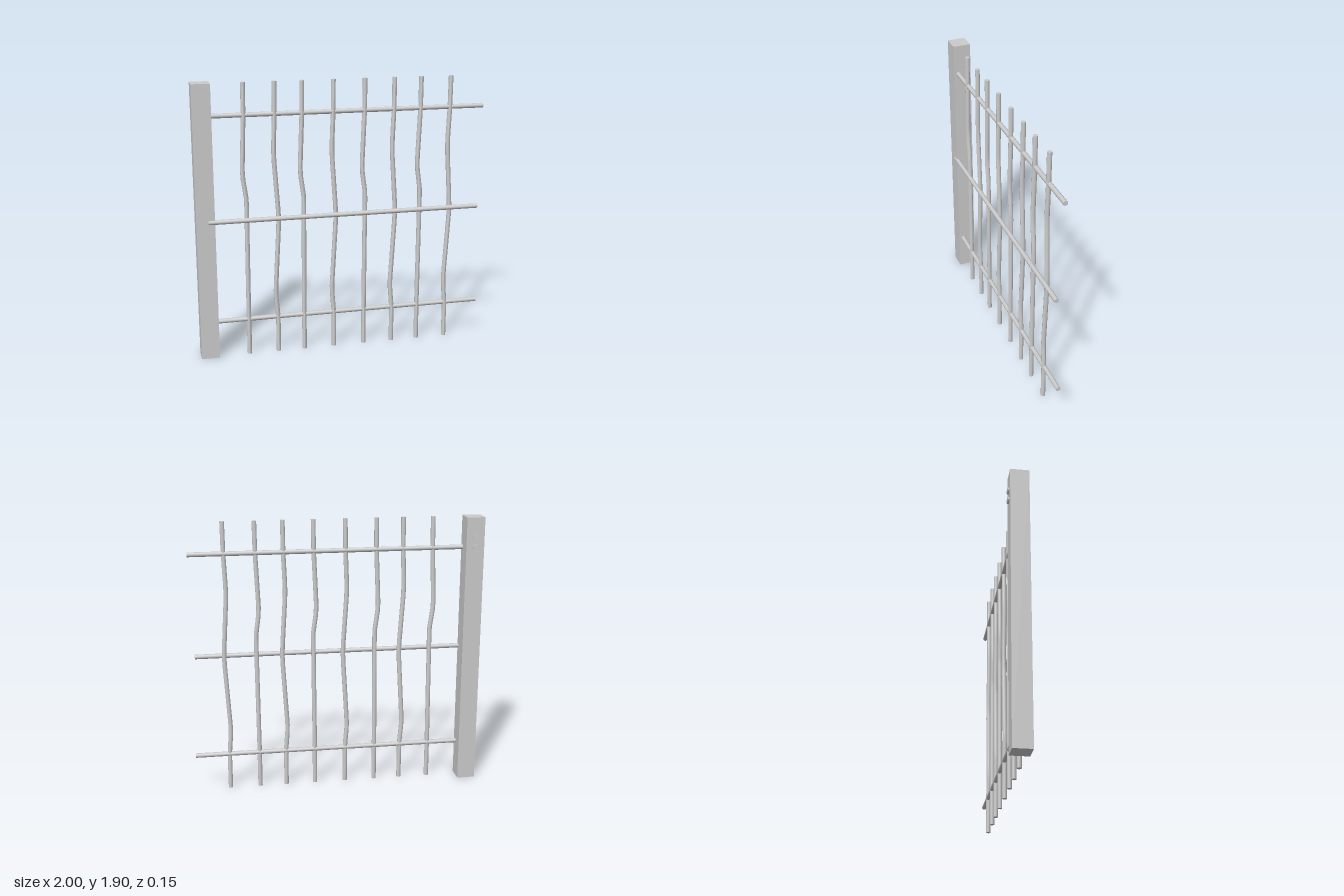
import * as THREE from 'three';

const material = new THREE.MeshStandardMaterial({ color: 0xcccccc });
const R = 0.016; // rod radius
const HEIGHT = 1.9;

function add(group, name, geometry, x = 0, y = 0, z = 0) {
  const mesh = new THREE.Mesh(geometry, material);
  mesh.name = name;
  mesh.position.set(x, y, z);
  group.add(mesh);
  return mesh;
}

// Upright rod whose rows sit at the given [height, sideways offset] pairs
function bentRod(profile) {
  const rows = profile.length - 1;
  const geometry = new THREE.CylinderGeometry(R, R, 1, 10, rows);
  const p = geometry.attributes.position;
  for (let i = 0; i < p.count; i++) {
    const [y, dx] = profile[Math.round((p.getY(i) + 0.5) * rows)];
    p.setXYZ(i, p.getX(i) + dx, y, p.getZ(i));
  }
  geometry.computeVertexNormals();
  return geometry;
}

export function createModel() {
  const model = new THREE.Group();
  model.name = 'fencePanel';

  // Square post
  add(model, 'post', new THREE.BoxGeometry(0.125, HEIGHT, 0.125), -0.9375, HEIGHT / 2, 0.001);

  // Bolt heads on the back of the post
  for (const y of [1.696, 1.768]) {
    add(model, 'bolt', new THREE.CylinderGeometry(0.022, 0.022, 0.02, 12), -0.942, y, -0.063).rotation.x = Math.PI / 2;
  }

  // Horizontal rails; the middle one runs across the front
  const rails = [
    ['bottomRail', -0.88, 1, 0.257, 0.032],
    ['middleRail', -0.92, 0.977, 0.973, 0.056],
    ['topRail', -0.88, 1, 1.685, 0.032],
  ];
  for (const [name, x0, x1, y, z] of rails) {
    add(model, name, new THREE.CylinderGeometry(R, R, x1 - x0, 10), (x0 + x1) / 2, y, z).rotation.z = Math.PI / 2;
  }

  // Crooked uprights, alternating a single kink with a long double wave
  const kinked = bentRod([
    [0, 0], [0.3, 0], [1.06, 0.005], [1.12, 0.004], [1.25, -0.014],
    [1.31, -0.017], [1.37, -0.015], [1.68, -0.002], [HEIGHT, 0],
  ]);
  const wavy = bentRod([
    [0, 0], [0.23, 0], [0.28, -0.002], [0.4, -0.012], [0.45, -0.013], [0.51, -0.01],
    [0.9, 0.013], [0.97, 0.015], [1.04, 0.012], [1.36, -0.009], [1.42, -0.011],
    [1.48, -0.01], [1.68, -0.002], [HEIGHT, 0],
  ]);
  [-0.663, -0.457, -0.272, -0.059, 0.158, 0.364, 0.552, 0.763].forEach((x, i) => {
    add(model, 'upright', i % 2 ? wavy : kinked, x, 0, 0.034);
  });

  return model;
}
